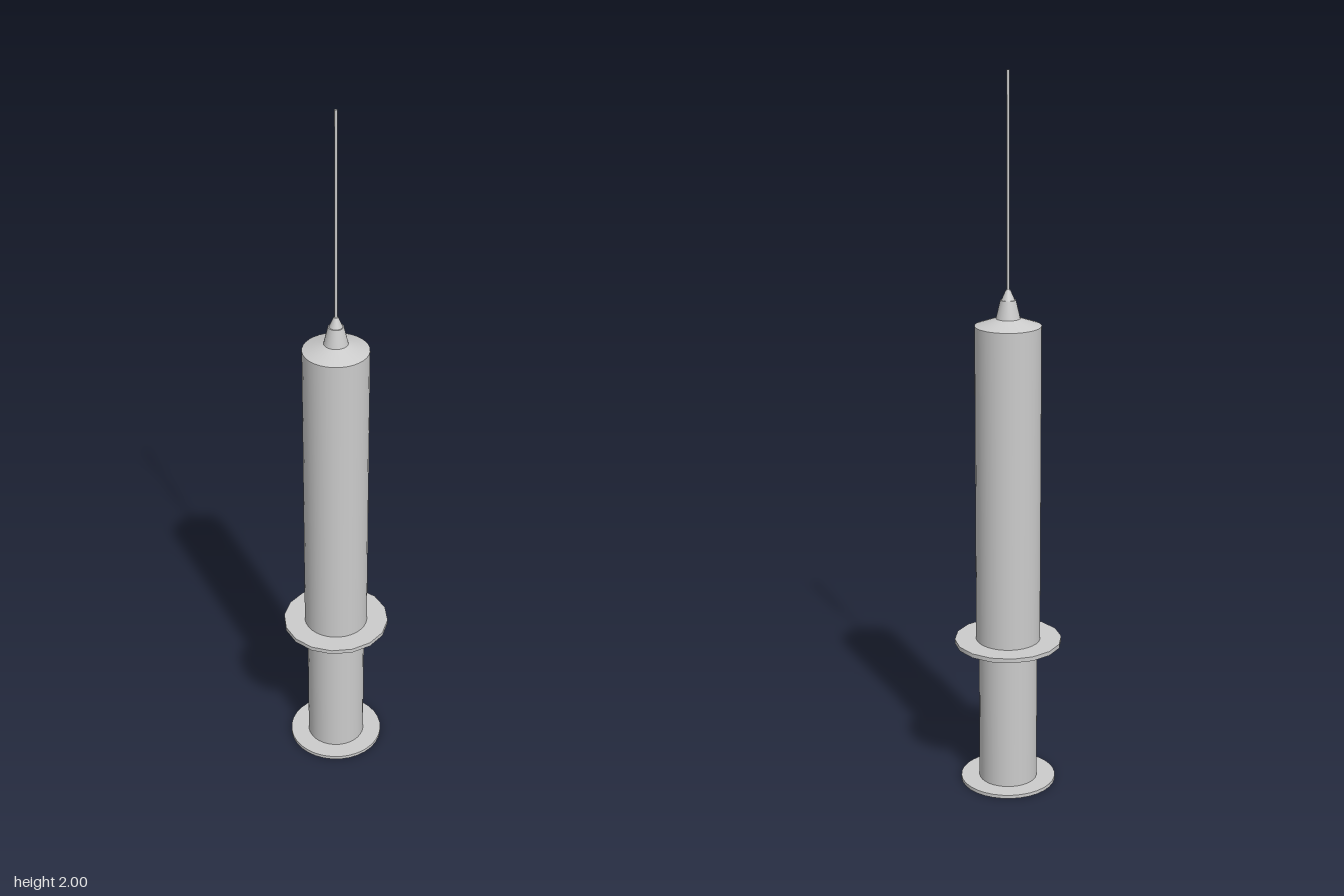
import * as THREE from 'three';

const material = new THREE.MeshStandardMaterial({ color: 0xcccccc });

// Smooth-sided round part between two heights, with crisp caps
function round(name, bottomRadius, topRadius, y0, y1, sides) {
  const geometry = new THREE.CylinderGeometry(topRadius, bottomRadius, y1 - y0, sides);
  const mesh = new THREE.Mesh(geometry, material);
  mesh.name = name;
  mesh.position.y = (y0 + y1) / 2;
  return mesh;
}

export function createModel() {
  const model = new THREE.Group();
  model.name = 'syringe';
  model.add(
    // Plunger with its thumb plate
    round('thumbPlate', 0.134, 0.134, 0, 0.01, 32),
    round('plunger', 0.082, 0.082, 0.01, 0.44, 32),
    // Barrel with finger flange and sloping shoulder
    round('fingerFlange', 0.15, 0.15, 0.42, 0.432, 16),
    round('barrel', 0.09, 0.09, 0.432, 1.33, 32),
    round('barrelShoulder', 0.09, 0.033, 1.33, 1.35, 32),
    // Needle hub in two tapering steps
    round('hub', 0.034, 0.021, 1.345, 1.4, 24),
    round('hubTip', 0.018, 0.006, 1.4, 1.428, 16),
    round('needle', 0.004, 0.004, 1.42, 2, 8)
  );
  return model;
}
